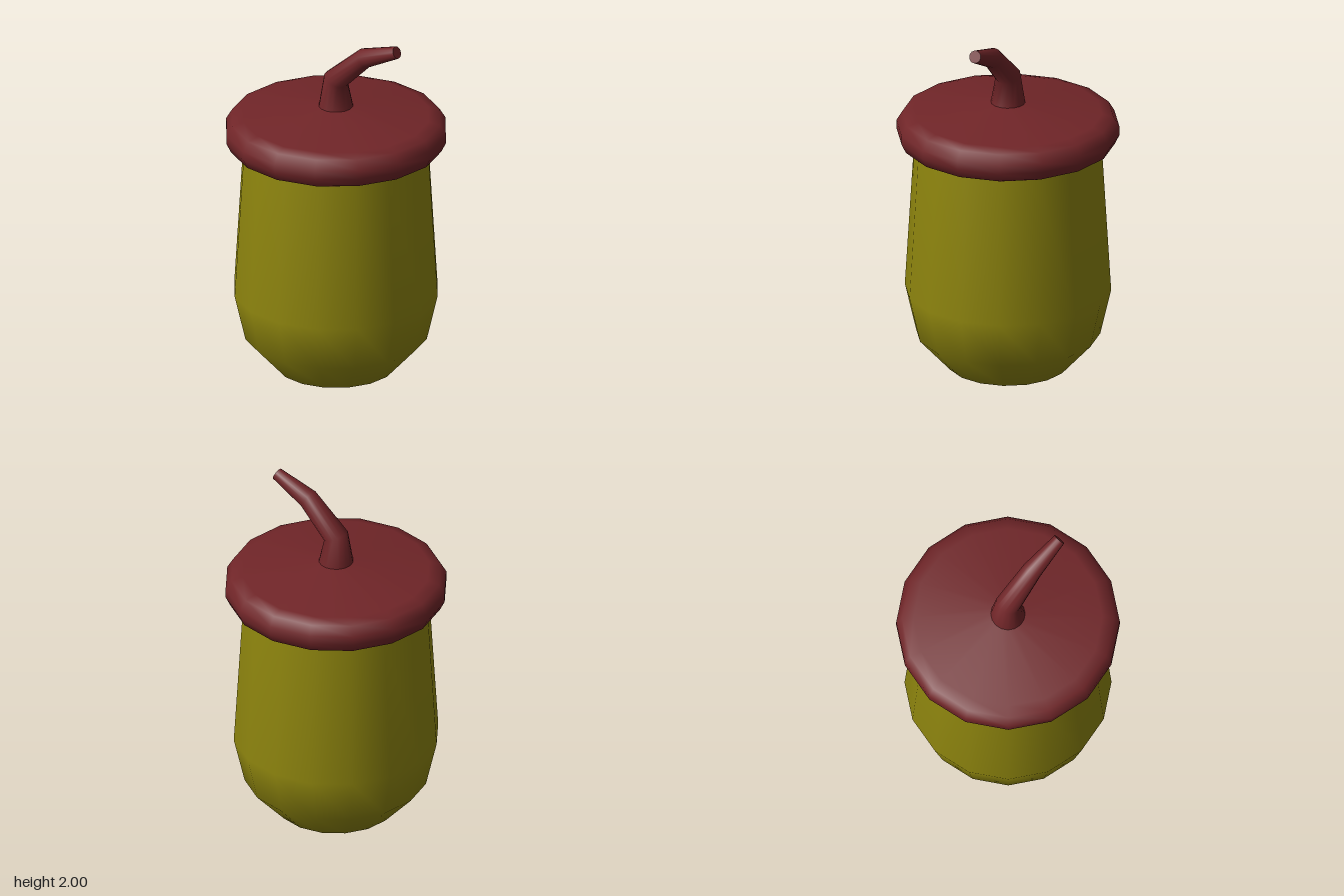
import * as THREE from 'three';

const olive = new THREE.MeshStandardMaterial({ color: 0x8f860e });
olive.name = 'olive shell';
const maroon = new THREE.MeshStandardMaterial({ color: 0x702528 });
maroon.name = 'maroon cap';

// Revolved part from [radius, height] pairs, listed bottom to top
function turned(name, profile, material, sides = 16) {
  const points = profile.map(([r, y]) => new THREE.Vector2(r, y));
  const mesh = new THREE.Mesh(new THREE.LatheGeometry(points, sides), material);
  mesh.name = name;
  return mesh;
}

// Tapered bent stalk: rings of [x, y, radius, lean from vertical]
function stalkGeometry(rings, sides) {
  const pos = [], index = [];
  const addRing = ([x, y, r, lean]) => {
    for (let i = 0; i < sides; i++) {
      const a = (i / sides) * Math.PI * 2;
      const u = Math.cos(a) * r;
      pos.push(x + u * Math.cos(lean), y - u * Math.sin(lean), Math.sin(a) * r);
    }
  };
  rings.forEach(addRing);
  for (let k = 0; k < rings.length - 1; k++) {
    for (let i = 0; i < sides; i++) {
      const j = (i + 1) % sides;
      const a = k * sides + i, b = k * sides + j;
      index.push(a, a + sides, b, b, a + sides, b + sides);
    }
  }
  // Flat end with its own vertices, for a sharp rim
  const start = pos.length / 3;
  const end = rings[rings.length - 1];
  addRing(end);
  pos.push(end[0], end[1], 0);
  for (let i = 0; i < sides; i++) {
    index.push(start + sides, start + ((i + 1) % sides), start + i);
  }
  const geometry = new THREE.BufferGeometry();
  geometry.setAttribute('position', new THREE.Float32BufferAttribute(pos, 3));
  geometry.setIndex(index);
  geometry.computeVertexNormals();
  return geometry;
}

export function createModel() {
  const group = new THREE.Group();
  group.name = 'acorn';

  // Nut body, running up inside the cap
  group.add(turned('nutBody', [
    [0, 0.038], [0.1, 0.04], [0.315, 0.112], [0.48, 0.292],
    [0.537, 0.54], [0.488, 1.35], [0.484, 1.4],
  ], olive));

  // Small point under the nut
  group.add(turned('nutTip', [[0, 0], [0.01, 0.003], [0.03, 0.045]], maroon, 8));

  // Cap with a rounded rim and a shallow cone on top
  group.add(turned('cap', [
    [0.44, 1.352], [0.53, 1.35], [0.557, 1.362], [0.58, 1.41], [0.58, 1.458],
    [0.55, 1.508], [0.49, 1.525], [0.09, 1.578], [0, 1.585],
  ], maroon));

  // Bent stalk leaning to the model's left
  const stalk = new THREE.Mesh(stalkGeometry([
    [0, 1.565, 0.092, 0],
    [0, 1.727, 0.066, 0.43],
    [0.178, 1.89, 0.053, 1.02],
    [0.378, 1.97, 0.033, 1.17],
  ], 16), maroon);
  stalk.name = 'stalk';
  group.add(stalk);

  return group;
}
